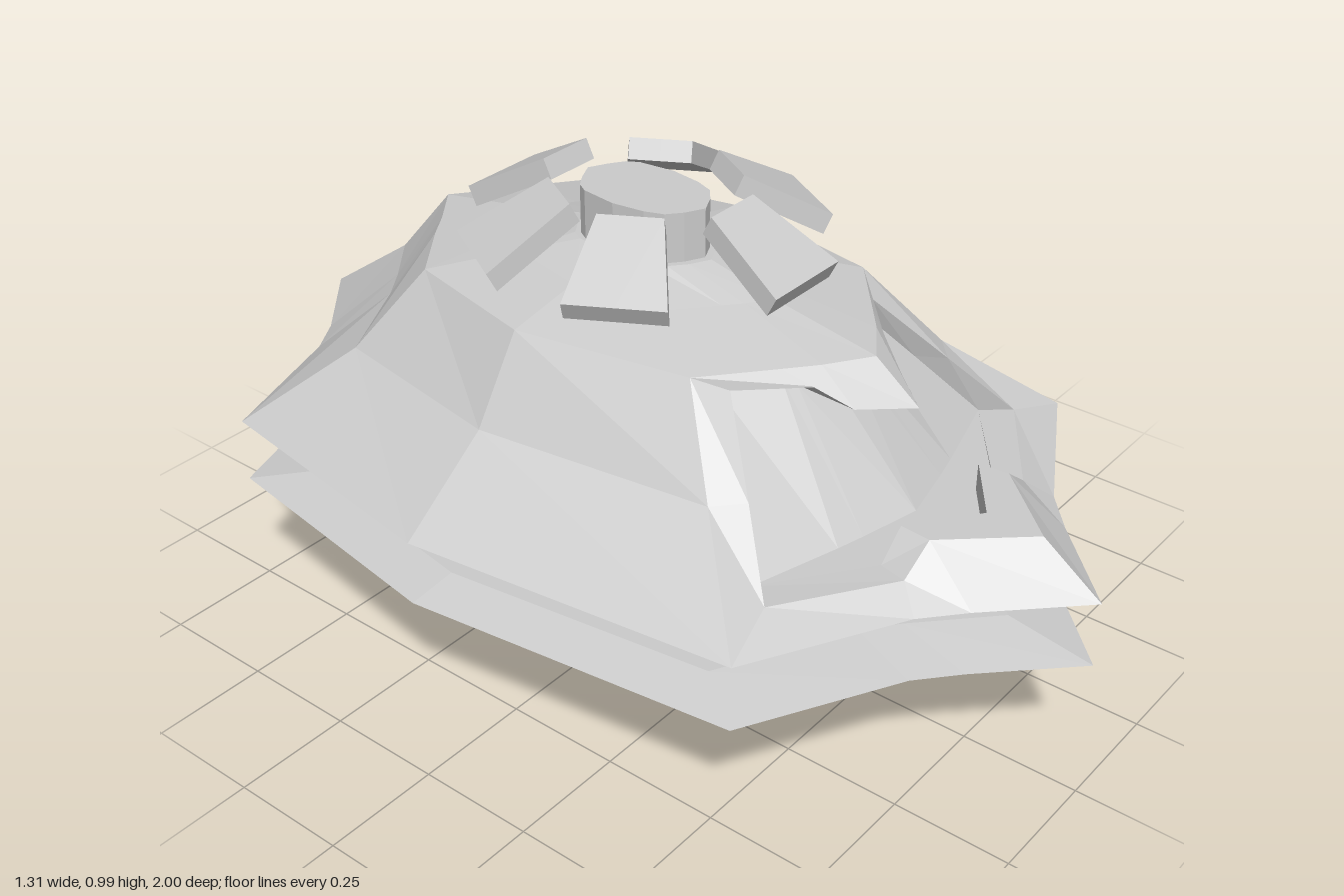
import * as THREE from 'three';

const material = new THREE.MeshStandardMaterial({ color: 0xcccccc, flatShading: true, side: THREE.DoubleSide });

// Collects quads between a lower and an upper row of points, mirrored across x = 0.
function strip(out, lower, upper) {
  const tri = (a, b, c) => {
    out.push(...a, ...b, ...c);
    for (const p of [a, c, b]) out.push(-p[0], p[1], p[2]);
  };
  for (let i = 0; i < lower.length - 1; i++) {
    tri(lower[i], lower[i + 1], upper[i + 1]);
    tri(lower[i], upper[i + 1], upper[i]);
  }
}

function loft(out, rings) {
  for (let i = 0; i < rings.length - 1; i++) strip(out, rings[i], rings[i + 1]);
}

function makeMesh(name, positions) {
  const g = new THREE.BufferGeometry();
  g.setAttribute('position', new THREE.Float32BufferAttribute(positions, 3));
  g.computeVertexNormals();
  const mesh = new THREE.Mesh(g, material);
  mesh.name = name;
  return mesh;
}

// Half ring at one height, running from the front tip round the left side to the back tip.
const level = (y, xz) => xz.map(([x, z]) => [x, y, z]);
const scaled = (xz, kx, kz, cz) => xz.map(([x, z]) => [x * kx, cz + (z - cz) * kz]);
const point = (ring, y, z) => ring.map(() => [0, y, z]);

const RIM = [[0, 1], [0.17, 0.83], [0.25, 0.76], [0.565, 0.59], [0.655, -0.11],
  [0.565, -0.69], [0.25, -0.8], [0.17, -0.85], [0, -1]];
const SHOULDER = [[0, 0.49], [0.09, 0.43], [0.15, 0.38], [0.28, 0.27], [0.35, -0.1],
  [0.28, -0.41], [0.15, -0.51], [0.09, -0.55], [0, -0.62]];
const WAIST = [[0, 0.72], [0.11, 0.62], [0.18, 0.56], [0.39, 0.4], [0.46, -0.1],
  [0.39, -0.515], [0.18, -0.63], [0.11, -0.68], [0, -0.77]];
const HUB = [[0, 0.085], [0.04, 0.065], [0.07, 0.04], [0.085, 0.0], [0.095, -0.07],
  [0.085, -0.15], [0.07, -0.175], [0.04, -0.195], [0, -0.215]];
const INSET = scaled(RIM, 0.86, 0.82, -0.02);

function upperHull() {
  const out = [];
  const rim = level(0.448, RIM), waist = level(0.61, WAIST), shoulder = level(0.78, SHOULDER);
  // underside and rim bevel
  const inset = level(0.415, INSET);
  loft(out, [point(RIM, 0.415, -0.05), inset, rim]);
  // side and back panels
  loft(out, [rim, waist, shoulder].map((r) => r.slice(3)));
  // stepped roof
  const roof = level(0.82, scaled(SHOULDER, 0.56, 0.58, -0.07));
  const top = level(0.855, scaled(HUB, 1.08, 1.1, -0.07));
  loft(out, [shoulder, roof, top, point(top, 0.855, -0.07)]);

  // front opening: frame, lip, floor, recessed face and hood
  const frame = [[0.43, 0.485, 0.56], [0.335, 0.61, 0.45], [0.23, 0.75, 0.325]];
  const lipOuter = [[0, 0.54, 0.87], [0.14, 0.54, 0.715], [0.21, 0.487, 0.71], frame[0]];
  const lipInner = [[0, 0.54, 0.75], [0.135, 0.54, 0.65], [0.195, 0.485, 0.65], [0.39, 0.48, 0.5]];
  const floorEdge = lipInner.map(([x, , z]) => [x, 0.48, z]);
  const faceBottom = [[0, 0.48, 0.6], [0.135, 0.48, 0.57], [0.195, 0.48, 0.555], [0.39, 0.48, 0.5]];
  const faceTop = [[0, 0.69, 0.4], [0.08, 0.71, 0.37], [0.1, 0.73, 0.345], [0.215, 0.735, 0.28]];
  const hoodEdge = [[0, 0.705, 0.59], [0.08, 0.705, 0.5], [0.105, 0.745, 0.445], frame[2]];
  loft(out, [rim.slice(0, 4), lipOuter, lipInner, floorEdge, faceBottom, faceTop, hoodEdge, shoulder.slice(0, 4)]);
  loft(out, [rim, waist, shoulder].map((r, i) => [frame[i], r[3]]));
  loft(out, [[faceBottom[3], frame[0]], [[0.303, 0.608, 0.39], frame[1]], [faceTop[3], frame[2]]]);
  return makeMesh('upperHull', out);
}

function lowerHull() {
  const out = [];
  const rim = level(0.307, RIM), inset = level(0.335, INSET);
  const bilge = level(0.15, [[0, 0.63], [0.11, 0.56], [0.17, 0.52], [0.37, 0.37], [0.43, -0.1],
    [0.37, -0.48], [0.17, -0.6], [0.11, -0.64], [0, -0.69]]);
  // keel with a steep step on each flank that fades towards the tips
  const stepTop = [[0, 0.11, 0.435], [0.08, 0.112, 0.385], [0.12, 0.114, 0.35], [0.23, 0.12, 0.23], [0.27, 0.1, -0.1],
    [0.23, 0.115, -0.34], [0.12, 0.113, -0.43], [0.08, 0.112, -0.46], [0, 0.11, -0.535]];
  const stepBottom = [[0, 0.09, 0.338], [0.07, 0.088, 0.3], [0.1, 0.085, 0.27], [0.18, 0.07, 0.17], [0.21, 0.04, -0.1],
    [0.18, 0.07, -0.28], [0.1, 0.085, -0.35], [0.07, 0.088, -0.38], [0, 0.09, -0.454]];
  loft(out, [point(RIM, 0, -0.1), stepBottom, stepTop, bilge, rim, inset, point(RIM, 0.335, -0.05)]);
  return makeMesh('lowerHull', out);
}

function hub() {
  const out = [];
  const top = level(0.96, HUB);
  loft(out, [level(0.85, HUB), top, point(top, 0.96, -0.07)]);
  return makeMesh('hub', out);
}

// Sloping tapered plate pointing along +z
function roofPlate(reach) {
  const out = [];
  const row = (w, y, z) => [[0, y, z], [w, y, z]];
  const section = [row(0.1, 0.845, reach - 0.02), row(0.1, 0.885, reach), row(0.065, 0.985, reach - 0.18),
    row(0.065, 0.945, reach - 0.2)];
  loft(out, [...section, section[0]]);
  const [a, b, c, d] = section.map((r) => r[1]);
  strip(out, [a, d], [b, c]);
  return makeMesh('roofPlate', out);
}

export function createModel() {
  const model = new THREE.Group();
  model.name = 'floatingHull';
  model.add(upperHull(), lowerHull(), hub());

  // ring of six plates round the hub
  const plates = new THREE.Group();
  plates.name = 'roofPlates';
  plates.position.z = -0.063;
  for (let i = 0; i < 6; i++) {
    const plate = roofPlate(i % 3 === 0 ? 0.392 : 0.36);
    plate.rotation.y = (i * Math.PI) / 3;
    plates.add(plate);
  }
  model.add(plates);
  return model;
}
